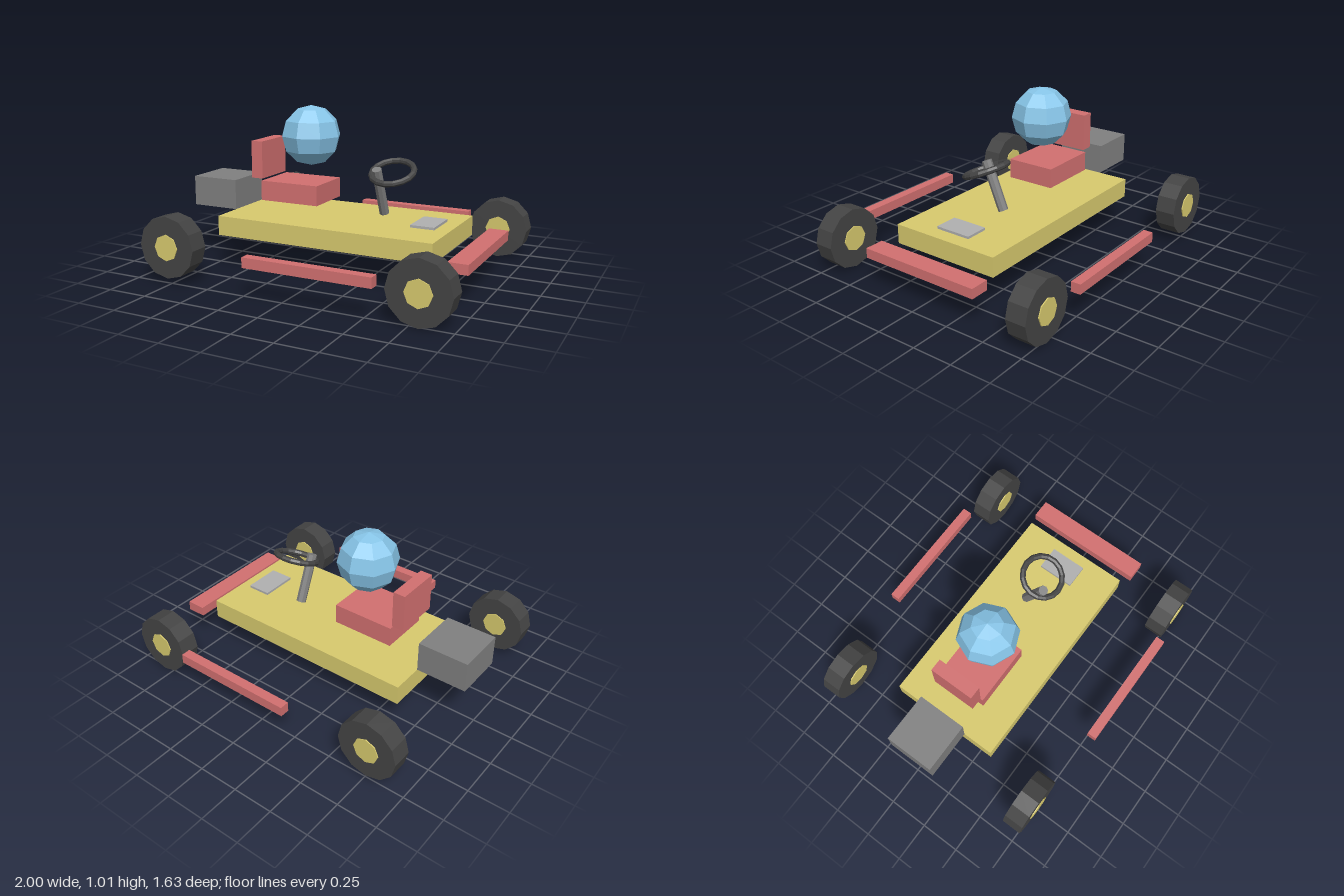
import * as THREE from 'three';

const mat = (color) => new THREE.MeshStandardMaterial({ color, flatShading: true });

export function createModel() {
  const group = new THREE.Group();
  const yellow = mat(0xd8ca6e), red = mat(0xd27070), dark = mat(0x444444);
  const grey = mat(0x808080), lightGrey = mat(0xb0b0b0), blue = mat(0x87c5e8);

  const add = (name, geometry, material, x, y, z, rx = 0) => {
    const mesh = new THREE.Mesh(geometry, material);
    mesh.name = name;
    mesh.position.set(x, y, z);
    mesh.rotation.x = rx;
    group.add(mesh);
    return mesh;
  };
  // Box given by its ranges in x and y, its middle z and its depth
  const box = (name, material, x0, x1, y0, y1, depth, z = 0) =>
    add(name, new THREE.BoxGeometry(x1 - x0, y1 - y0, depth), material,
      (x0 + x1) / 2, (y0 + y1) / 2, z);

  // Body, seat and engine
  box('chassis', yellow, -0.685, 0.727, 0.21, 0.332, 0.71);
  box('engine', grey, -1, -0.685, 0.332, 0.522, 0.314);
  box('seat', red, -0.49, -0.097, 0.413, 0.537, 0.314);
  box('seatBack', red, -0.567, -0.49, 0.547, 0.782, 0.284);
  box('pedalPlate', lightGrey, 0.497, 0.647, 0.341, 0.356, 0.232);

  // Bumpers
  box('noseBumper', red, 0.825, 0.947, 0.192, 0.253, 0.785);
  for (const side of [1, -1]) {
    box('sideBumper', red, -0.215, 0.572, 0.192, 0.253, 0.06, side * 0.786);
  }

  // Driver's head
  add('head', new THREE.SphereGeometry(0.188, 8, 6), blue, -0.216, 0.822, 0);

  // Steering column and wheel, tilted together
  add('steeringColumn', new THREE.CylinderGeometry(0.031, 0.031, 0.315, 8), grey, 0.257, 0.51, 0, 0.4);
  add('steeringWheel', new THREE.TorusGeometry(0.13, 0.019, 8, 16), dark, 0.335, 0.635, 0, 0.4 - Math.PI / 2);

  // Tyres with hubs showing on both faces
  const tyre = new THREE.CylinderGeometry(0.188, 0.188, 0.125, 12);
  const hub = new THREE.CylinderGeometry(0.08, 0.08, 0.138, 8);
  for (const [end, x, y] of [['rear', -0.766, 0.223], ['front', 0.809, 0.19]]) {
    for (const side of [1, -1]) {
      add(end + 'Tyre', tyre, dark, x, y, side * 0.708, Math.PI / 2);
      add(end + 'Hub', hub, yellow, x, y, side * 0.708, Math.PI / 2);
    }
  }
  return group;
}
